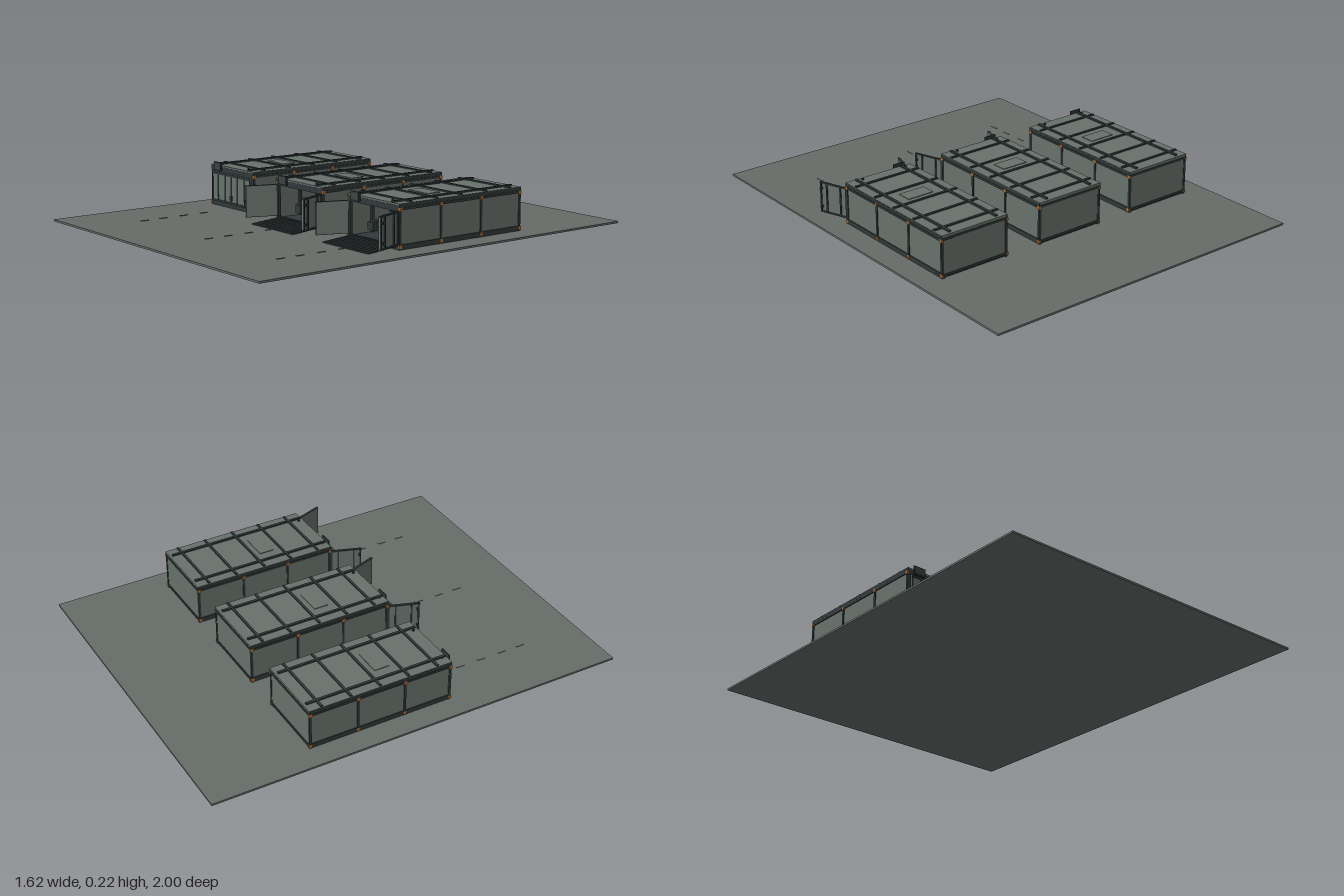
import * as THREE from 'three';

const mat = (name, color, side = THREE.FrontSide) => {
  const m = new THREE.MeshStandardMaterial({ color, side });
  m.name = name;
  return m;
};

export function createModel() {
  const M = {
    ground: mat('ground grey', 0x666c68),
    panel: mat('panel grey green', 0x68716b),
    frame: mat('dark frame', 0x30393a),
    ramp: mat('ramp slate', 0x343c3e),
    hull: mat('hull grey', 0x3c4644),
    orange: mat('orange marker', 0xc0702c),
  };
  const root = new THREE.Group();
  root.name = 'garageYard';

  const add = (parent, name, geo, material, x = 0, y = 0, z = 0) => {
    const m = new THREE.Mesh(geo, material);
    m.name = name;
    m.position.set(x, y, z);
    parent.add(m);
    return m;
  };
  const box = (parent, name, material, w, h, d, x, y, z) =>
    add(parent, name, new THREE.BoxGeometry(w, h, d), material, x, y, z);

  // Symmetrical profile (right half given) extruded along z
  const prism = (parent, name, material, half, z0, z1) => {
    const pts = [...half, ...half.map(([x, y]) => [-x, y]).reverse()];
    const shape = new THREE.Shape(pts.map(([x, y]) => new THREE.Vector2(x, y)));
    const geo = new THREE.ExtrudeGeometry(shape, { depth: z1 - z0, bevelEnabled: false });
    return add(parent, name, geo, material, 0, 0, z0);
  };

  const BACK = -0.492, FRONT = 0.205, MID = (BACK + FRONT) / 2, LEN = FRONT - BACK;

  // Door leaf running along local +z, ribs on its outer side
  function doorLeaf(s) {
    const g = new THREE.Group();
    g.name = 'openDoor';
    box(g, 'doorPanel', M.panel, 0.007, 0.14, 0.146, 0, 0.103, 0.073);
    for (const z of [0.004, 0.036, 0.11, 0.142])
      box(g, 'doorRib', M.frame, 0.005, 0.144, 0.007, s * 0.006, 0.103, z);
    for (const y of [0.034, 0.172])
      box(g, 'doorRail', M.frame, 0.01, 0.007, 0.15, s * 0.002, y, 0.073);
    for (const y of [0.06, 0.146])
      box(g, 'doorLatch', M.frame, 0.014, 0.01, 0.01, s * 0.008, y, 0.138);
    g.position.set(s * 0.163, 0, 0.208);
    g.rotation.y = s * 0.34;
    return g;
  }

  // Parked armoured hover vehicle
  function vehicle() {
    const g = new THREE.Group();
    g.name = 'vehicle';
    prism(g, 'hull', M.hull, [[0.09, 0.03], [0.125, 0.045], [0.105, 0.075], [0.07, 0.09]], -0.36, 0.1);
    prism(g, 'upperHull', M.hull, [[0.075, 0.085], [0.062, 0.105], [0.045, 0.125]], -0.28, 0.05);
    prism(g, 'nosePlate', M.frame, [[0.06, 0.045], [0.075, 0.06], [0.05, 0.072]], 0.1, 0.125);
    add(g, 'turretRing', new THREE.CylinderGeometry(0.045, 0.058, 0.02, 12), M.frame, 0, 0.132, -0.08);
    add(g, 'turret', new THREE.CylinderGeometry(0.026, 0.038, 0.018, 8), M.hull, 0, 0.15, -0.08);
    const barrel = add(g, 'barrel', new THREE.CylinderGeometry(0.006, 0.006, 0.16, 10), M.frame, 0, 0.142, 0.03);
    barrel.rotation.x = Math.PI / 2;
    for (const s of [-1, 1]) {
      for (const z of [-0.29, -0.1, 0.08]) {
        box(g, 'sidePod', M.frame, 0.038, 0.036, 0.09, s * 0.117, 0.058, z);
        box(g, 'podCap', M.hull, 0.028, 0.01, 0.075, s * 0.115, 0.08, z);
      }
      box(g, 'skid', M.frame, 0.02, 0.016, 0.4, s * 0.1, 0.03, -0.13);
      box(g, 'lamp', M.panel, 0.016, 0.008, 0.006, s * 0.05, 0.08, 0.102);
    }
    return g;
  }

  function container(cx, open) {
    const g = new THREE.Group();
    g.name = open ? 'openGarage' : 'closedGarage';
    g.position.x = cx;

    // Shell
    box(g, 'floor', M.frame, 0.335, 0.012, LEN - 0.01, 0, 0.016, MID);
    box(g, 'roof', M.panel, 0.346, 0.01, LEN, 0, 0.2, MID);
    box(g, 'backWall', M.panel, 0.335, 0.18, 0.01, 0, 0.108, BACK + 0.008);
    for (const s of [-1, 1]) {
      box(g, 'sideWall', M.panel, 0.008, 0.18, LEN - 0.01, s * 0.166, 0.108, MID);
      for (const y of [0.027, 0.183])
        box(g, 'sideRail', M.frame, 0.012, 0.01, LEN, s * 0.169, y, MID);
      box(g, 'roofEdge', M.frame, 0.006, 0.014, LEN, s * 0.171, 0.196, MID);
      box(g, 'sill', M.frame, 0.012, 0.014, LEN, s * 0.166, 0.015, MID);
      for (const z of [-0.486, -0.257, -0.027, 0.199]) {
        box(g, 'sidePost', M.frame, 0.012, 0.19, 0.01, s * 0.168, 0.105, z);
        for (const y of [0.022, 0.182])
          box(g, 'cornerMarker', M.orange, 0.008, 0.014, 0.014, s * 0.172, y, z);
      }
      for (const z of [-0.36, -0.14, 0.08])
        box(g, 'innerRib', M.frame, 0.012, 0.165, 0.012, s * 0.157, 0.105, z);
      box(g, 'frontPost', M.frame, 0.018, 0.19, 0.012, s * 0.164, 0.105, 0.199);
      box(g, 'roofBar', M.frame, 0.012, 0.008, 0.68, s * 0.122, 0.208, -0.14);
    }
    box(g, 'header', M.frame, 0.34, 0.026, 0.014, 0, 0.185, 0.199);
    box(g, 'threshold', M.frame, 0.34, 0.018, 0.012, 0, 0.019, 0.199);
    for (const y of [0.022, 0.186])
      box(g, 'backRail', M.frame, 0.34, 0.01, 0.008, 0, y, BACK + 0.003);

    // Roof fittings
    for (const z of [-0.43, -0.29, -0.147, -0.008, 0.135])
      box(g, 'roofCrossBar', M.frame, 0.336, 0.007, 0.011, 0, 0.2075, z);
    box(g, 'roofHatch', M.panel, 0.13, 0.004, 0.07, 0, 0.206, -0.08);
    for (const x of [-0.13, 0.1])
      add(g, 'roofStud', new THREE.CylinderGeometry(0.006, 0.006, 0.006, 10), M.frame, x, 0.211, 0.18);
    box(g, 'frontPlate', M.frame, 0.06, 0.04, 0.006, -0.115, 0.2, 0.209);
    box(g, 'frontPlateFace', M.hull, 0.05, 0.03, 0.002, -0.115, 0.2, 0.2125);

    if (open) {
      g.add(doorLeaf(-1), doorLeaf(1), vehicle());
      // Sloping ramp with treads
      const ramp = new THREE.Group();
      ramp.name = 'ramp';
      box(ramp, 'rampPlate', M.ramp, 0.308, 0.004, 0.152, 0, 0, 0);
      for (let i = 0; i < 8; i++)
        box(ramp, 'rampTread', M.ramp, 0.3, 0.002, 0.006, 0, 0.003, -0.063 + i * 0.018);
      ramp.position.set(0, 0.017, 0.28);
      ramp.rotation.x = 0.08;
      g.add(ramp);
    } else {
      // Shut double door
      box(g, 'closedDoor', M.panel, 0.312, 0.14, 0.008, 0, 0.103, 0.208);
      for (const y of [0.036, 0.166])
        box(g, 'doorRail', M.frame, 0.312, 0.009, 0.005, 0, y, 0.213);
      for (const x of [-0.153, -0.108, -0.05, 0, 0.05, 0.108, 0.153])
        box(g, 'doorRib', M.frame, 0.004, 0.13, 0.004, x, 0.1, 0.213);
      box(g, 'doorHandle', M.frame, 0.016, 0.022, 0.006, 0, 0.06, 0.214);
    }

    // Guide dashes on the apron
    for (const z of [0.37, 0.48, 0.59, 0.69])
      box(g, 'guideDash', M.ground, 0.008, 0.003, 0.04, 0, 0.0095, z);
    return g;
  }

  box(root, 'groundSlab', M.ground, 1.616, 0.009, 2, 0, 0.0045, 0);
  root.add(container(-0.524, false), container(0, true), container(0.522, true));
  return root;
}
